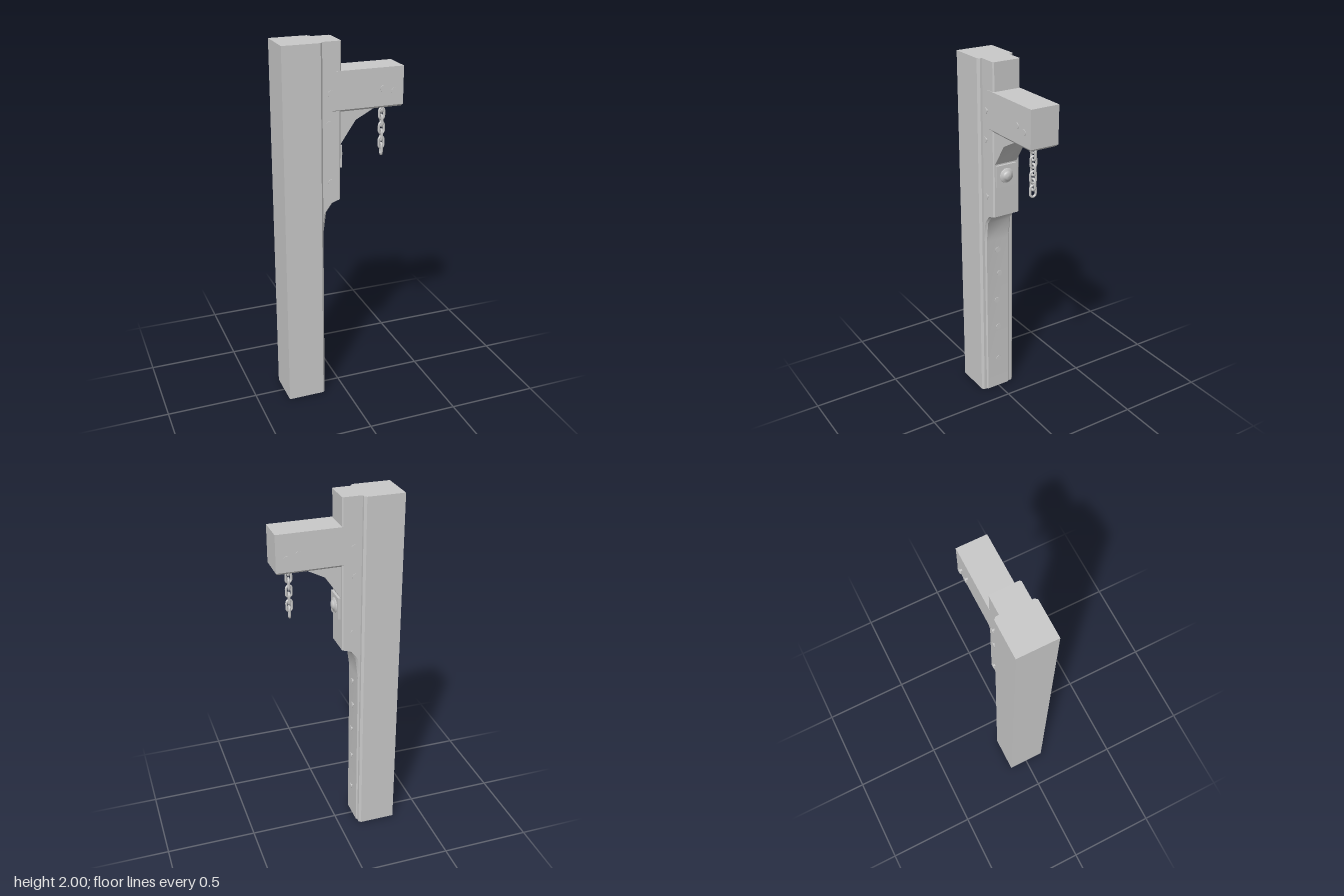
import * as THREE from 'three';
import { toCreasedNormals } from 'three/addons/utils/BufferGeometryUtils.js';

export function createModel() {
  const model = new THREE.Group();
  const grey = new THREE.MeshStandardMaterial({ color: 0xc8c8c8 });
  grey.name = 'grey';

  const add = (name, geometry, x = 0, y = 0, z = 0, parent = model) => {
    const mesh = new THREE.Mesh(geometry, grey);
    mesh.name = name;
    mesh.position.set(x, y, z);
    parent.add(mesh);
    return mesh;
  };

  // Skins upward-stacked rings (each counter-clockwise seen from above), with end caps;
  // gentle bends are smooth, edges stay sharp
  const loft = (rings) => {
    const pos = [];
    const n = rings[0].length;
    const tri = (a, b, c) => pos.push(...a, ...b, ...c);
    for (let r = 0; r < rings.length - 1; r++) {
      for (let i = 0; i < n; i++) {
        const j = (i + 1) % n;
        const [a, b, c, d] = [rings[r][i], rings[r][j], rings[r + 1][j], rings[r + 1][i]];
        tri(a, b, c);
        tri(a, c, d);
      }
    }
    const low = rings[0], top = rings[rings.length - 1];
    for (let i = 1; i < n - 1; i++) {
      tri(low[0], low[i + 1], low[i]);
      tri(top[0], top[i], top[i + 1]);
    }
    const g = new THREE.BufferGeometry();
    g.setAttribute('position', new THREE.Float32BufferAttribute(pos, 3));
    return toCreasedNormals(g, 0.65);
  };

  // Timber cross-section with its two +x corners chamfered
  const timberRing = (y, back, front, z0, z1, c) => [
    [back, y, z1], [front - c, y, z1], [front, y, z1 - c],
    [front, y, z0 + c], [front - c, y, z0], [back, y, z0],
  ];
  const timber = (rows) => loft(rows.map((r) => timberRing(...r)));

  // Main post
  add('post', timber([
    [0, -0.33, -0.117, -0.107, 0.106, 0.012],
    [2, -0.33, -0.117, -0.107, 0.106, 0.012],
  ]));

  // Facing board: thin strip below, sweeping out to full depth above
  const boardProfile = [
    [0, -0.11], [0.98, -0.109], [1.1, -0.093], [1.15, -0.056], [1.165, -0.016], [2, -0.012],
  ];
  add('facingBoard', timber(boardProfile.map(([y, x], i) =>
    [y, -0.2, x, -0.078, 0.082, i < 4 ? 0.011 : 0.007])));

  // Horizontal arm with a bevelled underside
  const armRing = (y, e) => [
    [-0.06, y, 0.085 - e], [0.329 - e, y, 0.085 - e],
    [0.329 - e, y, -0.077 + e], [-0.06, y, -0.077 + e],
  ];
  add('arm', loft([armRing(1.64, 0.008), armRing(1.65, 0), armRing(1.85, 0)]));

  // Curved brace below the arm
  const braceShape = new THREE.Shape([
    [-0.03, 1.45], [-0.013, 1.465], [0.07, 1.587], [0.175, 1.642], [-0.03, 1.642],
  ].map(([x, y]) => new THREE.Vector2(x, y)));
  const braceGeo = new THREE.ExtrudeGeometry(braceShape, { depth: 0.131, bevelEnabled: false });
  add('brace', toCreasedNormals(braceGeo, 0.65), 0, 0, -0.058);

  // Bolts through the board and arm, with a flat head on both sides
  const headGeo = new THREE.CylinderGeometry(0.017, 0.017, 0.003, 10);
  const sideBolts = [
    [-0.072, 1.742, 0.093], [-0.08, 1.585, 0.093], [-0.072, 1.27, 0.093],
    [0.215, 1.742, 0.091], [0.276, 1.725, 0.091],
  ];
  for (const [x, y, reach] of sideBolts) {
    const bolt = new THREE.Group();
    bolt.name = 'sideBolt';
    bolt.position.set(x, y, 0);
    bolt.rotation.x = Math.PI / 2;
    add('boltShaft', new THREE.CylinderGeometry(0.007, 0.007, reach * 2, 8), 0, 0, 0, bolt);
    for (const s of [-1, 1]) add('boltHead', headGeo, 0, s * reach, 0, bolt);
    model.add(bolt);
  }

  // Bolts up the lower strip
  for (const [y, z] of [[0.2, 0.005], [0.42, 0.005], [0.6, 0.012], [0.77, -0.004], [0.92, 0.005]]) {
    const bolt = new THREE.Group();
    bolt.name = 'stripBolt';
    bolt.position.set(-0.1, y, z);
    bolt.rotation.z = -Math.PI / 2;
    add('boltShaft', new THREE.CylinderGeometry(0.007, 0.007, 0.03, 8), 0, -0.015, 0, bolt);
    add('boltHead', headGeo, 0, 0, 0, bolt);
    model.add(bolt);
  }

  // Square plate with a domed boss
  add('plate', new THREE.BoxGeometry(0.02, 0.12, 0.118), -0.012, 1.397, 0.01);
  const boss = new THREE.LatheGeometry([
    [0.042, 0], [0.038, 0.006], [0.026, 0.008], [0.025, 0.013], [0.016, 0.019], [0, 0.021],
  ].map(([r, h]) => new THREE.Vector2(r, h)), 16);
  add('boss', boss, -0.003, 1.397, 0.01).rotation.z = -Math.PI / 2;

  // Chain hanging from a disc under the arm
  add('chainMount', new THREE.CylinderGeometry(0.036, 0.03, 0.01, 14), 0.243, 1.636, 0.01);
  const oval = new THREE.CatmullRomCurve3([
    [0, 0.031], [0.013, 0.023], [0.015, 0], [0.013, -0.023],
    [0, -0.031], [-0.013, -0.023], [-0.015, 0], [-0.013, 0.023],
  ].map(([x, y]) => new THREE.Vector3(x, y, 0)), true);
  const linkGeo = new THREE.TubeGeometry(oval, 24, 0.0065, 8, true);
  [1.627, 1.588, 1.549, 1.509, 1.469, 1.43, 1.394].forEach((y, i) => {
    add('chainLink', linkGeo, 0.243, y, 0.01).rotation.y = i % 2 ? 0.15 : Math.PI / 2 - 0.15;
  });

  return model;
}
